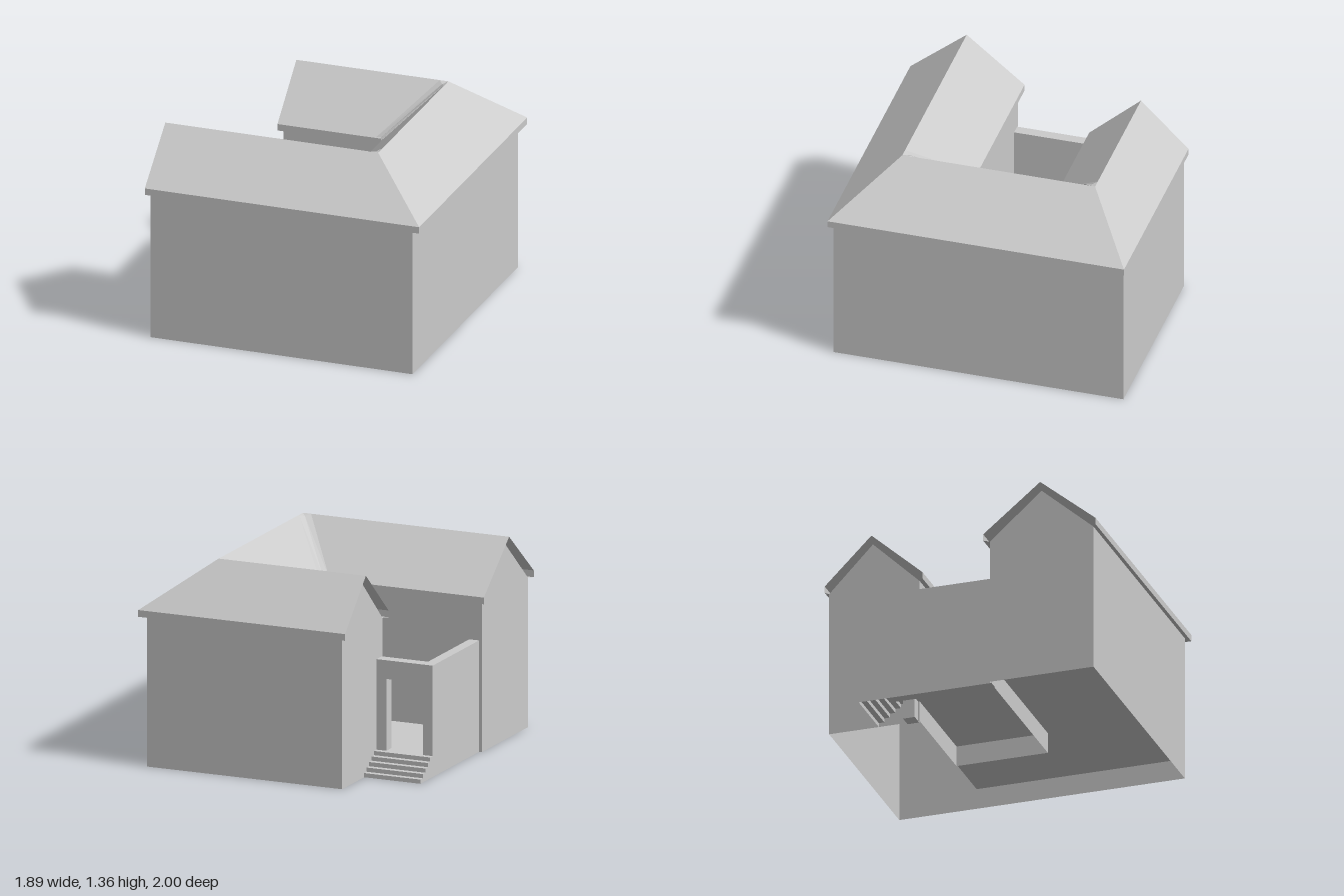
import * as THREE from 'three';

const material = new THREE.MeshStandardMaterial({ color: 0xcccccc, flatShading: true, side: THREE.DoubleSide });

// Thin surface made of convex polygons, each a loop of [x, y, z] corners
function sheet(name, polygons) {
  const points = [];
  for (const p of polygons) {
    for (let i = 1; i < p.length - 1; i++) points.push(...p[0], ...p[i], ...p[i + 1]);
  }
  const geometry = new THREE.BufferGeometry();
  geometry.setAttribute('position', new THREE.Float32BufferAttribute(points, 3));
  geometry.computeVertexNormals();
  return named(name, geometry);
}

function named(name, geometry) {
  const mesh = new THREE.Mesh(geometry, material);
  mesh.name = name;
  return mesh;
}

// Upright panels along a plan path of [x, z] points
function panels(path, low, high) {
  return path.slice(1).map(([x, z], i) => {
    const [px, pz] = path[i];
    return [[px, low, pz], [x, low, z], [x, high, z], [px, high, pz]];
  });
}

// Strips joining two matching plan paths, each at its own height
function strips(a, ya, b, yb) {
  return a.slice(1).map(([x, z], i) => [
    [a[i][0], ya, a[i][1]], [x, ya, z],
    [b[i + 1][0], yb, b[i + 1][1]], [b[i][0], yb, b[i][1]],
  ]);
}

export function createModel() {
  const house = new THREE.Group();
  house.name = 'courtyardHouse';
  const WALL = 1, EAVE = 1.045, RIDGE = 1.36, FLOOR = 0.14, GATE = 0.745;

  // U-shaped plan paths, running from the front wing round to the back wing
  const outerWall = [[-0.92, 0.975], [0.89, 0.975], [0.89, -0.98], [-0.5, -0.98]];
  const innerWall = [[-0.92, 0.265], [0.23, 0.265], [0.23, -0.36], [-0.5, -0.36]];
  const outerEave = [[-0.95, 1], [0.945, 1], [0.945, -1], [-0.53, -1]];
  const innerEave = [[-0.95, 0.23], [0.2, 0.23], [0.2, -0.33], [-0.53, -0.33]];
  const ridge = [[-0.95, 0.62], [0.52, 0.62], [0.52, -0.68], [-0.53, -0.68]];

  house.add(sheet('outerWalls', panels(outerWall, 0, WALL)));
  house.add(sheet('courtyardWalls', panels(innerWall, 0, WALL)));

  // Gable walls at the open ends of both wings
  const gable = (x, z0, zMid, z1) => [
    [x, 0, z0], [x, 0, z1], [x, WALL, z1], [x, 1.31, zMid], [x, WALL, z0],
  ];
  house.add(sheet('gableWalls', [gable(-0.92, 0.265, 0.62, 0.975), gable(-0.5, -0.98, -0.68, -0.36)]));

  // Raised floor
  house.add(sheet('floor', [[
    [-0.9, FLOOR, -0.45], [-0.9, FLOOR, 0.975], [0.89, FLOOR, 0.975], [0.89, FLOOR, -0.45],
  ]]));

  // Roof slopes, fascia boards and soffits
  const roof = new THREE.Group();
  roof.name = 'roof';
  roof.add(sheet('outerSlopes', strips(outerEave, EAVE, ridge, RIDGE)));
  roof.add(sheet('innerSlopes', strips(innerEave, EAVE, ridge, RIDGE)));
  roof.add(sheet('fascia', [...panels(outerEave, WALL, EAVE), ...panels(innerEave, WALL, EAVE)]));
  roof.add(sheet('soffits', [
    ...strips(outerEave, WALL, outerWall, WALL),
    ...strips(innerEave, WALL, innerWall, WALL),
  ]));

  // Valley flashings where the inner slopes meet
  for (const [zEave, zRidge, s] of [[0.23, 0.62, 1], [-0.33, -0.68, -1]]) {
    const lowMid = [0.19, EAVE + 0.015, zEave - s * 0.01];
    const highMid = [0.49, RIDGE - 0.01, zRidge - s * 0.035];
    roof.add(sheet('valleyFlashing', [
      [[0.15, EAVE + 0.005, zEave], lowMid, highMid, [0.46, RIDGE, zRidge - s * 0.005]],
      [lowMid, [0.2, EAVE + 0.005, zEave - s * 0.045], [0.515, RIDGE, zRidge - s * 0.07], highMid],
      [highMid, [0.515, RIDGE, zRidge - s * 0.07], [0.52, RIDGE, zRidge], [0.46, RIDGE, zRidge]],
    ]));
  }
  house.add(roof);

  // Courtyard wall closing the open side
  const side = named('courtyardSideWall', new THREE.BoxGeometry(0.07, GATE, 0.64));
  side.position.set(-0.865, GATE / 2, -0.05);
  house.add(side);

  // Entrance wall with its doorway
  const outline = [[-0.9, 0], [-0.83, 0], [-0.83, 0.62], [-0.57, 0.62], [-0.57, 0],
    [-0.48, 0], [-0.48, GATE], [-0.9, GATE]];
  const entrance = named('entranceWall', new THREE.ExtrudeGeometry(
    new THREE.Shape(outline.map(([x, y]) => new THREE.Vector2(x, y))),
    { depth: 0.08, bevelEnabled: false }));
  entrance.position.z = -0.45;
  house.add(entrance);

  // Hollow entrance steps: risers, treads and closed sides
  const count = 5, rise = FLOOR / count, run = 0.19 / count, x0 = -0.9, x1 = -0.5;
  const steps = [];
  for (let i = 0; i < count; i++) {
    const z = -0.64 + i * run, y = i * rise, top = y + rise;
    steps.push([[x0, y, z], [x0, top, z], [x1, top, z], [x1, y, z]]);
    steps.push([[x0, top, z], [x0, top, z + run], [x1, top, z + run], [x1, top, z]]);
    for (const x of [x0, x1]) {
      steps.push([[x, 0, z], [x, 0, z + run], [x, top, z + run], [x, top, z]]);
    }
  }
  house.add(sheet('entranceSteps', steps));

  return house;
}
